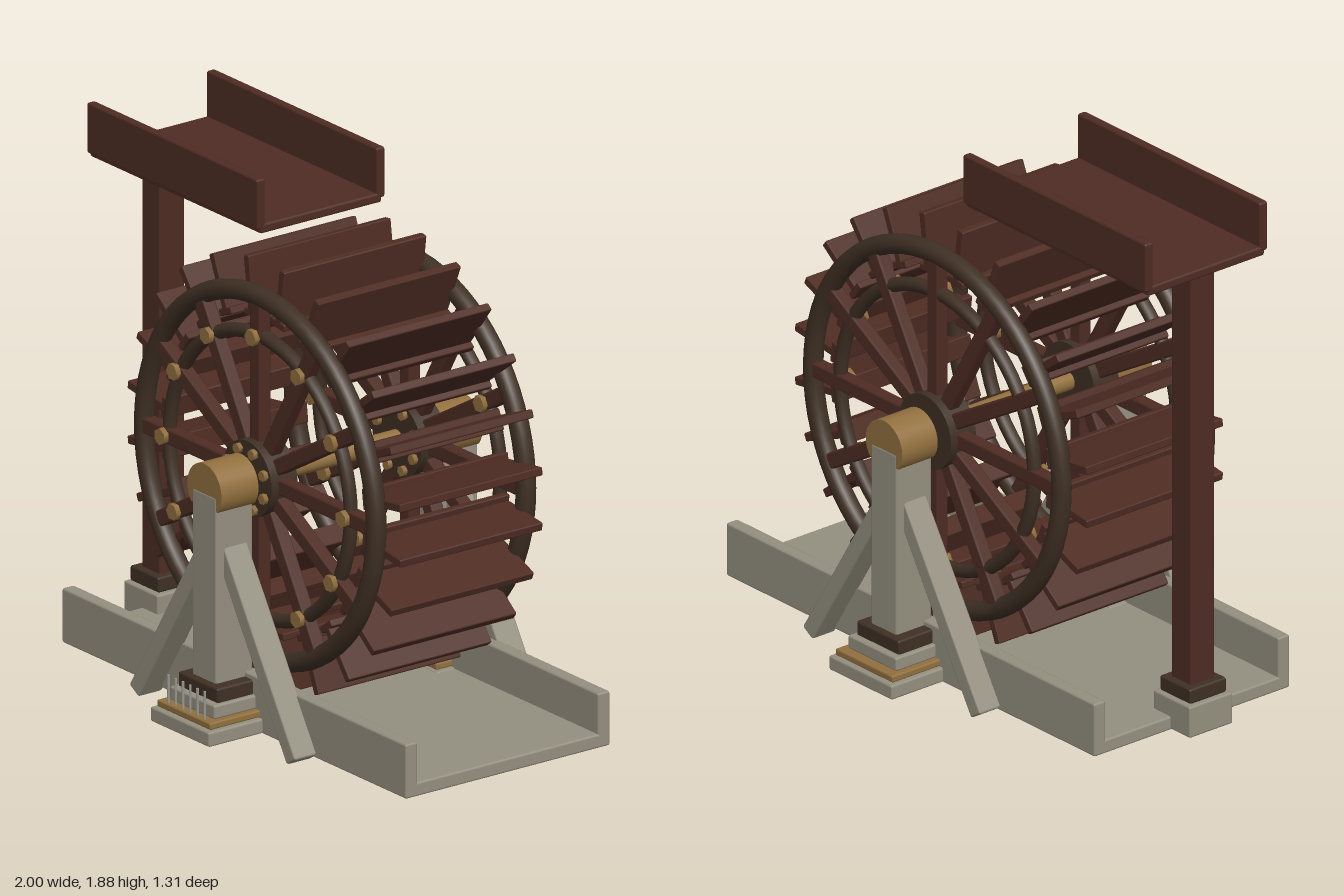
import * as THREE from 'three';
import { RoundedBoxGeometry } from 'three/addons/geometries/RoundedBoxGeometry.js';

const material = (name, color) => {
  const m = new THREE.MeshStandardMaterial({ color });
  m.name = name;
  return m;
};

export function createModel() {
  const redWood = material('redWood', 0x4e2c23);
  const darkWood = material('darkWood', 0x3f3024);
  const stone = material('stone', 0x959080);
  const brass = material('brass', 0x92703e);
  const steel = material('steel', 0x9a9a96);

  const model = new THREE.Group();
  model.name = 'waterWheel';

  const add = (parent, name, geometry, mat, x = 0, y = 0, z = 0, rz = 0) => {
    const mesh = new THREE.Mesh(geometry, mat);
    mesh.name = name;
    mesh.position.set(x, y, z);
    mesh.rotation.z = rz;
    parent.add(mesh);
    return mesh;
  };
  const group = (name, x, y, z) => {
    const g = new THREE.Group();
    g.name = name;
    g.position.set(x, y, z);
    model.add(g);
    return g;
  };
  // Box with slightly eased edges
  const block = (w, h, d, r = 0.008) =>
    new RoundedBoxGeometry(w, h, d, 1, Math.min(r, w / 4, h / 4, d / 4));
  // Cylinder lying along z
  const rod = (r, length, sides = 32) =>
    new THREE.CylinderGeometry(r, r, length, sides).rotateX(Math.PI / 2);

  const CX = 0.045, CY = 0.87;

  // Stone channel under the wheel
  const channel = group('channel', 0.05, 0, 0);
  add(channel, 'channelFloor', block(1.9, 0.05, 0.86), stone, 0, 0.045, 0);
  for (const s of [1, -1]) {
    add(channel, 'channelWall', block(1.9, 0.195, 0.05), stone, 0, 0.1175, s * 0.405);
  }

  // Wheel
  const wheel = group('wheel', CX, CY, 0);
  add(wheel, 'axle', rod(0.034, 0.9), brass);

  const outerRing = new THREE.TorusGeometry(0.64, 0.035, 12, 72);
  const innerRing = new THREE.TorusGeometry(0.5, 0.025, 10, 64);
  const spoke = block(0.56, 0.056, 0.05);
  const spokeBolt = rod(0.03, 0.02, 6);
  const hubBolt = rod(0.019, 0.02, 6);
  for (const z of [0.315, -0.315]) {
    const side = new THREE.Group();
    side.name = 'wheelSide';
    side.position.z = z;
    wheel.add(side);
    add(side, 'outerRing', outerRing, darkWood);
    add(side, 'innerRing', innerRing, darkWood);
    add(side, 'hub', rod(0.135, 0.11), darkWood);
    for (let i = 0; i < 12; i++) {
      const a = (i * Math.PI) / 6, c = Math.cos(a), s = Math.sin(a);
      add(side, 'spoke', spoke, redWood, 0.35 * c, 0.35 * s, 0, a);
      add(side, 'spokeBolt', spokeBolt, brass, 0.5 * c, 0.5 * s, 0.034, a);
    }
    for (let i = 0; i < 8; i++) {
      const a = ((i + 0.5) * Math.PI) / 4;
      add(side, 'hubBolt', hubBolt, brass, 0.108 * Math.cos(a), 0.108 * Math.sin(a), 0.062, a);
    }
  }

  // Paddles, each on a narrow sole board
  const paddle = block(0.2, 0.03, 0.6, 0.005);
  const sole = block(0.026, 0.075, 0.6, 0.005);
  for (let i = 0; i < 24; i++) {
    const a = ((i + 0.5) * Math.PI) / 12, c = Math.cos(a), s = Math.sin(a);
    add(wheel, 'paddle', paddle, redWood, 0.66 * c, 0.66 * s, 0, a);
    add(wheel, 'soleBoard', sole, redWood, 0.56 * c, 0.56 * s, 0, a);
  }

  // Bearing cap: a round with its bottom cut flat
  const cut = Math.asin(0.06 / 0.094);
  const capShape = new THREE.Shape();
  capShape.absarc(0, 0, 0.094, -cut, Math.PI + cut, false);
  capShape.closePath();
  const capGeometry = new THREE.ExtrudeGeometry(capShape, {
    depth: 0.156, bevelEnabled: false, curveSegments: 32,
  }).translate(0, 0, -0.078);

  // Supports on both sides of the wheel
  const brace = block(0.81, 0.06, 0.1);
  const rail = new THREE.CylinderGeometry(0.005, 0.005, 0.115, 6);
  for (const s of [1, -1]) {
    const support = group('support', CX, 0, s * 0.468);
    add(support, 'bearingCap', capGeometry, brass, 0, CY, s * 0.004);
    add(support, 'post', block(0.132, 0.72, 0.156), stone, 0, 0.5, s * 0.006);
    add(support, 'postCollar', block(0.22, 0.055, 0.22), darkWood, 0, 0.17, 0);
    add(support, 'upperPlinth', block(0.25, 0.05, 0.27), stone, 0, 0.122, 0);
    add(support, 'plinthTrim', block(0.296, 0.025, 0.325), brass, 0, 0.087, s * 0.008);
    add(support, 'plinthSlab', block(0.326, 0.053, 0.35), stone, 0, 0.0475, s * 0.012);
    for (const k of [1, -1]) {
      add(support, 'brace', brace, stone, k * 0.222, 0.363, 0, -k * 1.02);
    }
    for (let i = 0; i < 6; i++) {
      add(support, 'plinthRod', rail, steel, -0.1 + i * 0.04, 0.14, 0.157);
    }
  }

  // Flume carrying water to the top of the wheel
  const flume = group('flume', -0.503, 0, 0);
  add(flume, 'flumeFloor', block(0.944, 0.034, 0.51), redWood, 0, 1.711, 0);
  for (const s of [1, -1]) {
    add(flume, 'flumeWall', block(0.944, 0.18, 0.034), redWood, 0, 1.8, s * 0.252);
  }

  // Flume post and foot
  const leg = group('flumePost', -0.904, 0, 0);
  add(leg, 'flumeLeg', block(0.102, 1.53, 0.106), redWood, 0, 0.93, 0);
  add(leg, 'legCollar', block(0.16, 0.055, 0.16), darkWood, 0, 0.165, 0);
  add(leg, 'legFoot', block(0.19, 0.115, 0.19), stone, 0, 0.08, 0);

  return model;
}
